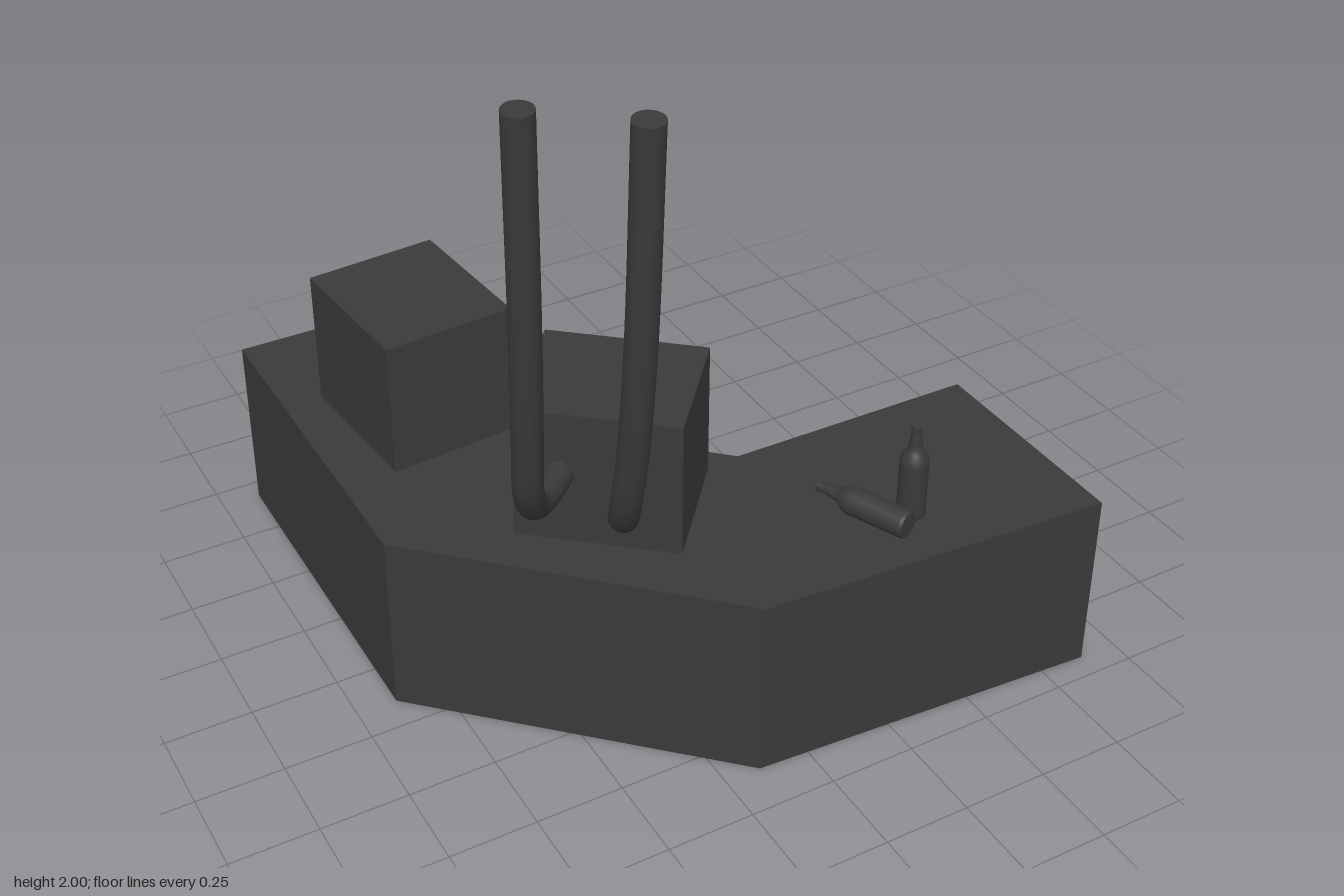
import * as THREE from 'three';

const dark = new THREE.MeshStandardMaterial({ color: 0x3a3a3a });

function add(parent, geometry, name, x = 0, y = 0, z = 0) {
  const mesh = new THREE.Mesh(geometry, dark);
  mesh.name = name;
  mesh.position.set(x, y, z);
  parent.add(mesh);
  return mesh;
}

// Extrude a floor plan given as [x, z] points upwards
function slab(plan, height) {
  const shape = new THREE.Shape(plan.map(([x, z]) => new THREE.Vector2(x, -z)));
  return new THREE.ExtrudeGeometry(shape, { depth: height, bevelEnabled: false }).rotateX(-Math.PI / 2);
}

// Rounded-square outline used by the television tube
function squircle(a, rx, ry) {
  const f = (v) => Math.sign(v) * Math.sqrt(Math.abs(v));
  return new THREE.Vector2(f(Math.cos(a)) * rx, f(Math.sin(a)) * ry);
}

function outline(rx, ry) {
  return Array.from({ length: 64 }, (_, i) => squircle((i / 64) * Math.PI * 2, rx, ry));
}

function ring(rx, ry, width, depth) {
  const shape = new THREE.Shape(outline(rx, ry));
  shape.holes.push(new THREE.Path(outline(rx - width, ry - width)));
  return new THREE.ExtrudeGeometry(shape, { depth, bevelEnabled: false });
}

// Bulging glass: a dome whose round rings are pushed out to the tube outline
function glass(rx, ry, bulge) {
  const profile = [];
  for (let i = 0; i <= 10; i++) {
    const r = 1 - i / 10;
    profile.push(new THREE.Vector2(r, bulge * (1 - r * r)));
  }
  const geo = new THREE.LatheGeometry(profile, 64).rotateX(Math.PI / 2);
  const p = geo.attributes.position;
  for (let i = 0; i < p.count; i++) {
    const r = Math.hypot(p.getX(i), p.getY(i));
    const v = squircle(Math.atan2(p.getY(i), p.getX(i)), rx * r, ry * r);
    p.setXY(i, v.x, v.y);
  }
  geo.computeVertexNormals();
  return geo;
}

function television(name, x, z, nx, nz) {
  const W = 0.454, H = 0.4, D = 0.385, recess = 0.035, rim = 0.012;
  const tv = new THREE.Group();
  tv.name = name;
  add(tv, new THREE.BoxGeometry(W, H, D - recess), 'cabinet', 0, H / 2, -recess / 2);

  // Thin rim standing proud of the front panel
  const frame = new THREE.Shape([[-1, -1], [1, -1], [1, 1], [-1, 1]]
    .map(([u, v]) => new THREE.Vector2((u * W) / 2, (v * H) / 2)));
  frame.holes.push(new THREE.Path([[-1, -1], [-1, 1], [1, 1], [1, -1]]
    .map(([u, v]) => new THREE.Vector2(u * (W / 2 - rim), v * (H / 2 - rim)))));
  const front = D / 2 - recess;
  add(tv, new THREE.ExtrudeGeometry(frame, { depth: recess, bevelEnabled: false }), 'cabinetRim', 0, H / 2, front);

  // Picture tube with stepped surround
  const cy = 0.217;
  add(tv, ring(0.175, 0.165, 0.012, 0.016), 'screenSurround', 0, cy, front);
  add(tv, ring(0.163, 0.153, 0.01, 0.008), 'screenInnerSurround', 0, cy, front);
  add(tv, glass(0.156, 0.146, 0.03), 'screen', 0, cy, front + 0.003);

  // Row of buttons
  for (let i = 0; i < 9; i++) {
    add(tv, new THREE.BoxGeometry(0.012, 0.012, 0.012), 'button', (i - 4) * 0.0155, 0.026, front + 0.004);
  }
  tv.position.set(x, 0.545, z);
  tv.rotation.y = Math.atan2(nx, nz);
  return tv;
}

function pipe(name, points) {
  const group = new THREE.Group();
  group.name = name;
  const path = new THREE.CatmullRomCurve3(points.map((p) => new THREE.Vector3(...p)), false, 'centripetal');
  add(group, new THREE.TubeGeometry(path, 64, 0.04, 24), 'pipeWall');
  // Close both ends
  for (const [t, sign] of [[0, -1], [1, 1]]) {
    const cap = add(group, new THREE.CircleGeometry(0.04, 24), 'pipeEnd');
    cap.position.copy(path.getPoint(t));
    cap.quaternion.setFromUnitVectors(new THREE.Vector3(0, 0, 1), path.getTangent(t).multiplyScalar(sign));
  }
  return group;
}

function bottle(name) {
  const group = new THREE.Group();
  group.name = name;
  const lathe = (pts) => new THREE.LatheGeometry(pts.map(([r, y]) => new THREE.Vector2(r, y)), 24);
  add(group, lathe([[0, 0], [0.036, 0]]).scale(1, 1, 1), 'base').material =
    new THREE.MeshStandardMaterial({ color: 0x3a3a3a, side: THREE.DoubleSide });
  add(group, lathe([[0.036, 0], [0.04, 0.005], [0.04, 0.01], [0.04, 0.17], [0.04, 0.178],
    [0.036, 0.194], [0.026, 0.208], [0.02, 0.218], [0.018, 0.23], [0.013, 0.272]]), 'body');
  add(group, new THREE.CylinderGeometry(0.014, 0.014, 0.018, 24), 'cap', 0, 0.278, 0);
  return group;
}

export function createModel() {
  const model = new THREE.Group();
  model.name = 'controlDesk';

  // Angled desk: thin top over an outer wall with two end panels
  const desk = new THREE.Group();
  desk.name = 'desk';
  model.add(desk);
  const outer = [[0.885, 0.27], [0.885, 0.93], [-0.145, 0.865], [-0.885, 0.15], [-0.885, -0.93], [-0.275, -0.93]];
  add(desk, slab([...outer, [-0.275, -0.125], [0.135, 0.265]], 0.03), 'deskTop', 0, 0.515, 0);
  add(desk, slab([...outer, [-0.275, -0.765], [-0.745, -0.765], [-0.745, 0.09],
    [-0.085, 0.73], [0.75, 0.782], [0.75, 0.27]], 0.515), 'deskWalls');

  // Televisions facing the operator
  model.add(television('rearTelevision', -0.5575, -0.374, 0.996, -0.085));
  model.add(television('cornerTelevision', -0.265, 0.274, 0.65, -0.76));

  // Pipes rising from the back of the corner television
  model.add(pipe('rightPipe', [[-0.43, 0.76, 0.32], [-0.52, 0.76, 0.405], [-0.595, 0.785, 0.475],
    [-0.64, 0.88, 0.535], [-0.655, 1.05, 0.57], [-0.672, 1.4, 0.615], [-0.69, 1.998, 0.655]]));
  model.add(pipe('leftPipe', [[-0.285, 0.76, 0.41], [-0.365, 0.76, 0.54], [-0.425, 0.785, 0.63],
    [-0.453, 0.88, 0.695], [-0.458, 1.05, 0.74], [-0.462, 1.4, 0.79], [-0.466, 1.998, 0.835]]));

  // One standing bottle and one lying on its side
  const standing = bottle('standingBottle');
  standing.position.set(0.405, 0.545, 0.715);
  const lying = bottle('lyingBottle');
  lying.position.set(0.337, 0.586, 0.798);
  lying.quaternion.setFromUnitVectors(new THREE.Vector3(0, 1, 0), new THREE.Vector3(-0.385, 0, -0.923).normalize());
  model.add(standing, lying);

  return model;
}
